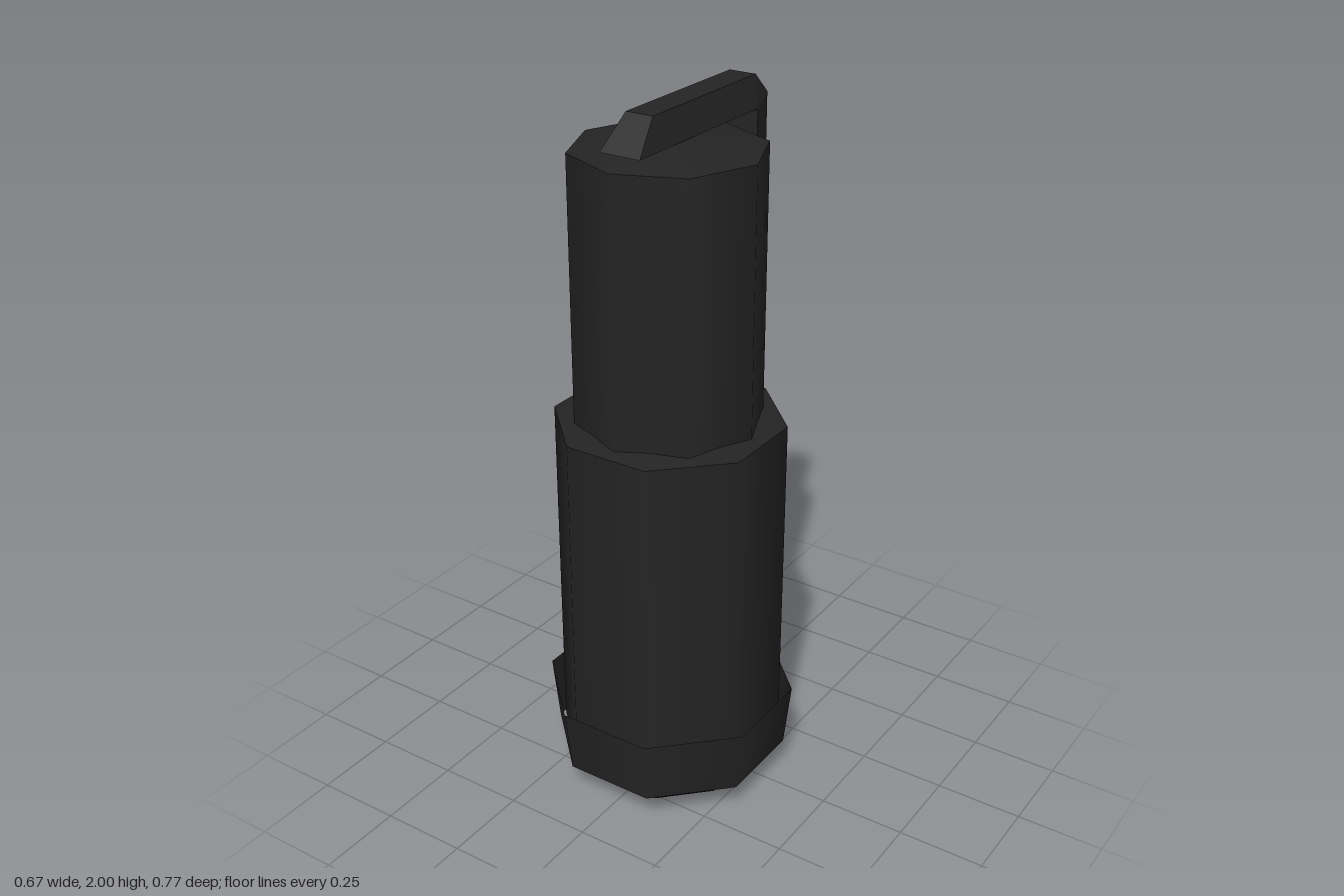
import * as THREE from 'three';

const SIDES = 8;
const FLAT_TURN = Math.PI / SIDES; // puts flat faces on the axes
const AXIS_Z = 0.053; // the barrel sits slightly forward of the clip

const black = new THREE.MeshStandardMaterial({ color: 0x242424 });
black.name = 'black';
const blackOpen = new THREE.MeshStandardMaterial({ color: 0x242424, side: THREE.DoubleSide });
blackOpen.name = 'blackOpen';

function add(parent, name, geometry, material = black) {
  const mesh = new THREE.Mesh(geometry, material);
  mesh.name = name;
  parent.add(mesh);
  return mesh;
}

// One eight-sided band between two heights, smooth around its axis
function band(parent, name, y0, r0, y1, r1, turn, material) {
  const geo = new THREE.CylinderGeometry(r1, r0, y1 - y0, SIDES, 1, true);
  geo.rotateY(turn);
  geo.translate(0, (y0 + y1) / 2, AXIS_Z);
  return add(parent, name, geo, material);
}

// Bar with a trapezoid section; each station is [innerZ, innerY, outerZ, outerY]
function taperedBar(stations, innerHalf, outerHalf) {
  const rings = stations.map(([iz, iy, oz, oy]) => [
    [-innerHalf, iy, iz], [innerHalf, iy, iz], [outerHalf, oy, oz], [-outerHalf, oy, oz],
  ]);
  const pos = [];
  const quad = (a, b, c, d) => pos.push(...a, ...b, ...c, ...a, ...c, ...d);
  for (let i = 0; i < rings.length - 1; i++) {
    const p = rings[i], q = rings[i + 1];
    for (let k = 0; k < 4; k++) {
      const n = (k + 1) % 4;
      quad(p[k], q[k], q[n], p[n]);
    }
  }
  const last = rings[rings.length - 1];
  quad(...rings[0]);
  quad(last[3], last[2], last[1], last[0]);
  const geo = new THREE.BufferGeometry();
  geo.setAttribute('position', new THREE.Float32BufferAttribute(pos, 3));
  geo.computeVertexNormals();
  return geo;
}

export function createModel() {
  const model = new THREE.Group();
  model.name = 'clipTube';

  // Lower barrel with bevelled foot and shallow shoulder
  const body = new THREE.Group();
  body.name = 'lowerBarrel';
  model.add(body);
  band(body, 'footBevel', 0, 0.227, 0.105, 0.324, FLAT_TURN);
  band(body, 'barrelWall', 0.105, 0.324, 1.13, 0.324, FLAT_TURN);
  band(body, 'shoulder', 1.13, 0.324, 1.17, 0, FLAT_TURN);
  const base = new THREE.CircleGeometry(0.227, SIDES);
  base.rotateX(Math.PI / 2);
  base.rotateY(FLAT_TURN);
  base.translate(0, 0, AXIS_Z);
  add(body, 'base', base);

  // Upper barrel, turned so its corners lie on the axes
  const upper = new THREE.Group();
  upper.name = 'upperBarrel';
  model.add(upper);
  band(upper, 'upperWall', 1.12, 0.262, 1.885, 0.262, 0);
  band(upper, 'topCap', 1.885, 0.262, 1.92, 0, 0);

  // Open flared collar around the foot
  band(model, 'collar', 0.09, 0.341, 0.28, 0.361, FLAT_TURN, blackOpen);

  // Clip arm: over the top and down the back
  add(model, 'clipArm', taperedBar([
    [0.265, 1.915, 0.18, 2.0],
    [-0.275, 1.915, -0.295, 2.0],
    [-0.277, 1.905, -0.357, 1.94],
    [-0.277, 0.9, -0.357, 0.9],
  ], 0.06, 0.04));

  // Clip holder on the lower back
  add(model, 'clipHolder', taperedBar([
    [-0.26, 0.925, -0.385, 1.0],
    [-0.26, 0.09, -0.385, 0.18],
  ], 0.065, 0.05));

  return model;
}
